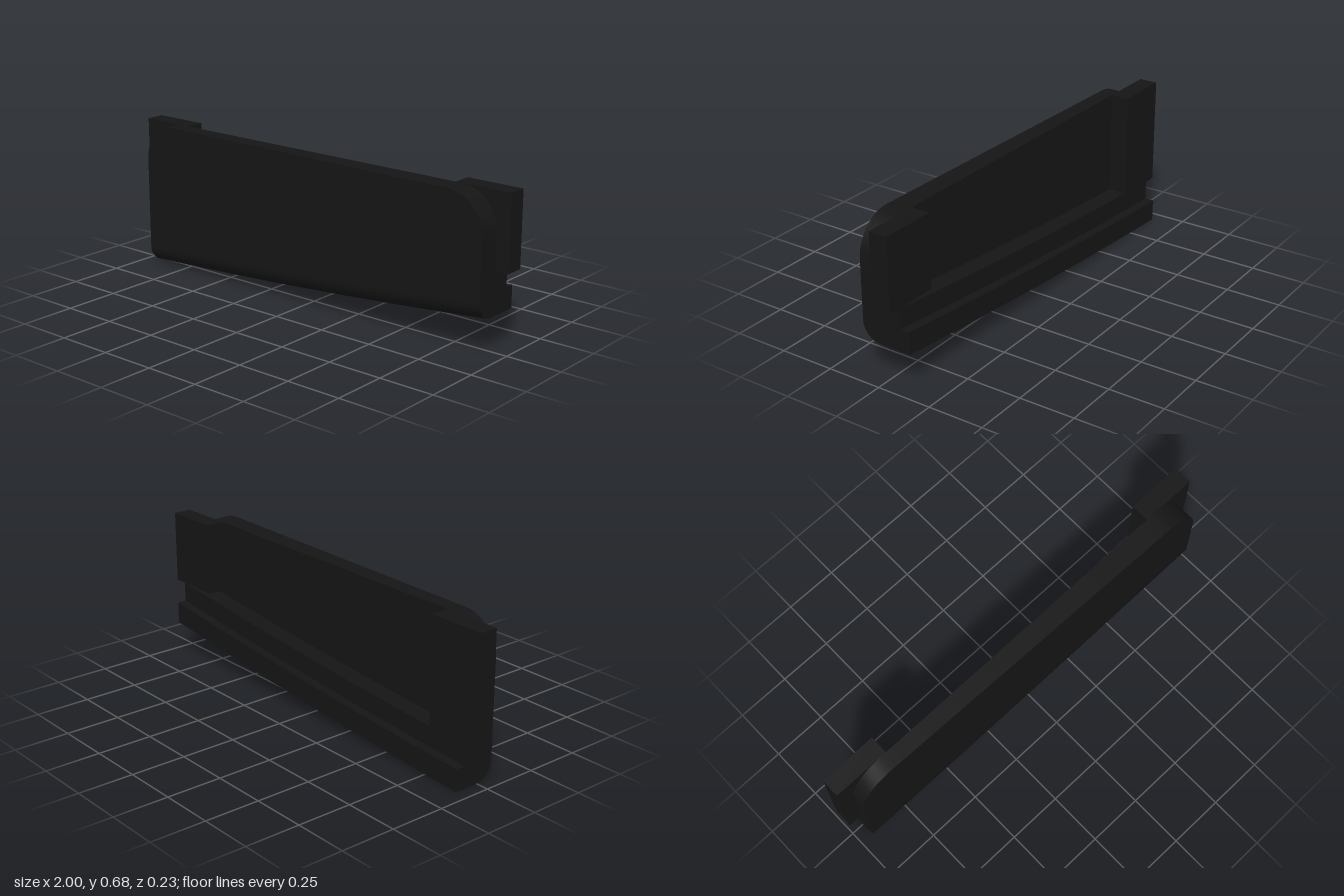
import * as THREE from 'three';
import { toCreasedNormals } from 'three/addons/utils/BufferGeometryUtils.js';

const HALF = 0.94;      // half length of the panel
const TOP = 0.68;
const CORNER = 0.17;    // radius of the upper corners
const BACK = -0.073;    // rear plane of the end blocks and the lower rail
const INNER = 0.012;    // rear plane of the thin panel

const bottomAt = x => 0.068 + 0.0835 * x + 0.0154 * x * x;
const frontAt = x => 0.097 + 0.018 * (x / HALF);
function topAt(x) {
  const d = Math.max(0, Math.abs(x) - (HALF - CORNER));
  return TOP - CORNER + Math.sqrt(Math.max(0, CORNER * CORNER - d * d));
}

// Cross-section as [z, y], running from the rear lip forward, up and back
function section(x) {
  const b = bottomAt(x), f = frontAt(x), t = topAt(x), r = 0.082;
  const pts = [[-0.115, b]];
  for (let i = 0; i <= 10; i++) {
    const a = (i / 10) * Math.PI / 2;
    pts.push([f - r + r * Math.sin(a), b + r - r * Math.cos(a)]);
  }
  pts.push([f, t], [INNER, t], [INNER, b + 0.19], [BACK, b + 0.19], [BACK, b + 0.1], [-0.115, b + 0.1]);
  return pts;
}

// Stations along the length, denser around the rounded corners
function stations() {
  const xs = [], inner = HALF - CORNER;
  for (let i = 0; i < 12; i++) xs.push(-inner - CORNER * Math.cos((i / 12) * Math.PI / 2));
  for (let i = 0; i <= 24; i++) xs.push(-inner + (2 * inner * i) / 24);
  for (let i = 1; i <= 12; i++) xs.push(inner + CORNER * Math.sin((i / 12) * Math.PI / 2));
  return xs;
}

function panelGeometry() {
  const xs = stations(), rings = xs.map(section), n = rings[0].length;
  const positions = [], index = [];
  rings.forEach((ring, i) => ring.forEach(([z, y]) => positions.push(xs[i], y, z)));
  for (let i = 0; i < xs.length - 1; i++) {
    for (let j = 0; j < n; j++) {
      const k = (j + 1) % n;
      const a = i * n + j, b = i * n + k, c = b + n, d = a + n;
      index.push(a, d, c, a, c, b);
    }
  }
  // End caps
  const last = (xs.length - 1) * n;
  const cap = ring => THREE.ShapeUtils.triangulateShape(ring.map(p => new THREE.Vector2(...p)), []);
  for (const [a, b, c] of cap(rings[0])) index.push(a, b, c);
  for (const [a, b, c] of cap(rings[xs.length - 1])) index.push(last + a, last + c, last + b);
  const geometry = new THREE.BufferGeometry();
  geometry.setAttribute('position', new THREE.Float32BufferAttribute(positions, 3));
  geometry.setIndex(index);
  return toCreasedNormals(geometry, 0.6);
}

export function createModel() {
  const group = new THREE.Group();
  const material = new THREE.MeshStandardMaterial({ color: 0x151515 });

  // Panel with rounded lower front edge, rear rail and lip
  const panel = new THREE.Mesh(panelGeometry(), material);
  panel.name = 'panel';
  group.add(panel);

  // Mounting blocks behind both ends, the right one reaching lower
  for (const [name, side, low] of [['leftBlock', 1, 0.35], ['rightBlock', -1, 0.19]]) {
    const block = new THREE.Mesh(new THREE.BoxGeometry(0.26, TOP - low, INNER - BACK), material);
    block.position.set(side * 0.87, (TOP + low) / 2, (INNER + BACK) / 2);
    block.name = name;
    group.add(block);
  }
  return group;
}
